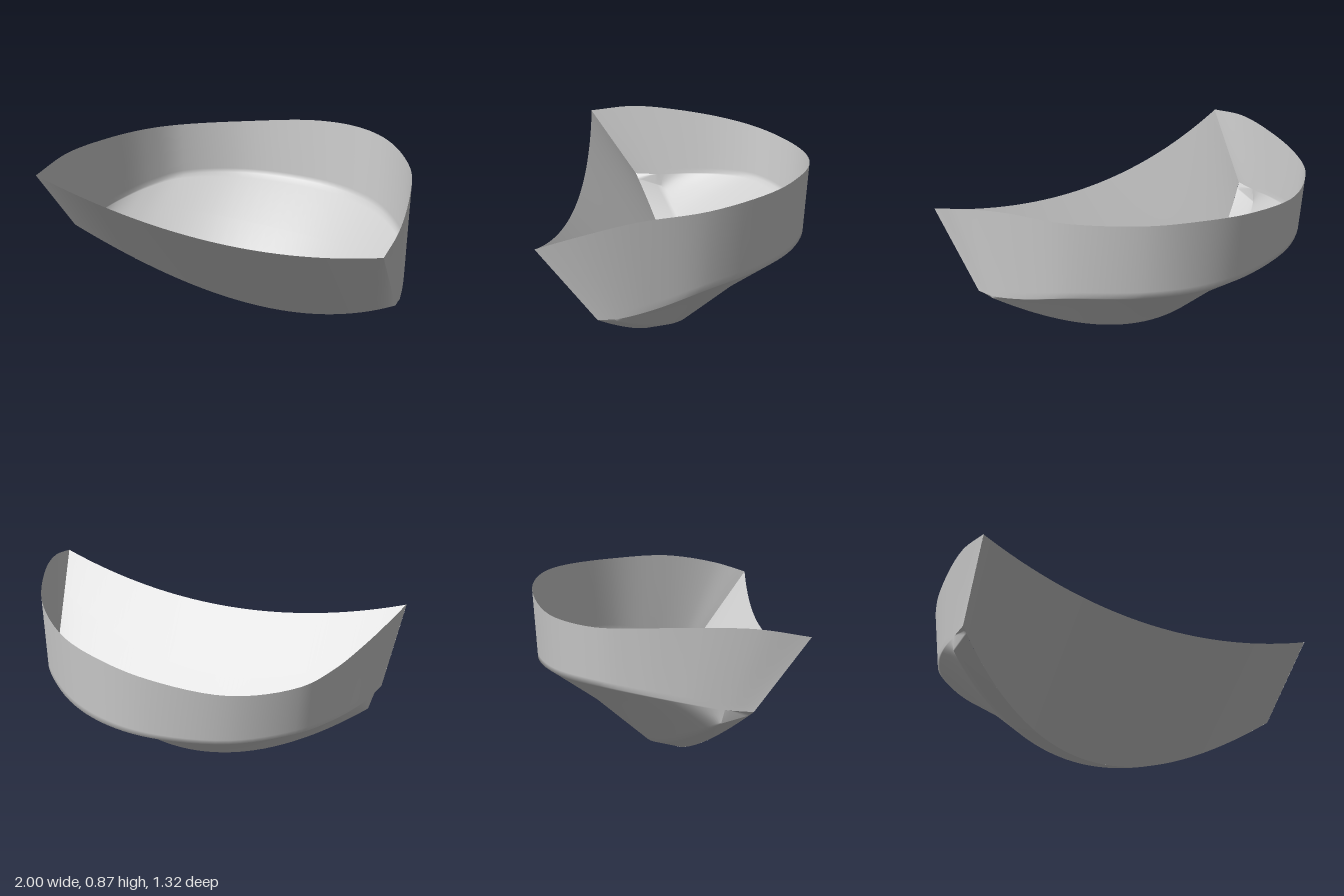
import * as THREE from 'three';

const V = (x, y, z) => new THREE.Vector3(x, y, z);
const curve = pts => new THREE.CatmullRomCurve3(pts.map(p => V(...p)));

// Smooth surface through rows of points (rows run top to bottom)
function loft(rows) {
  const n = rows[0].length, index = [];
  for (let j = 0; j < rows.length - 1; j++) {
    for (let i = 0; i < n - 1; i++) {
      const a = j * n + i, b = a + n;
      index.push(a, b, a + 1, b, b + 1, a + 1);
    }
  }
  const g = new THREE.BufferGeometry().setFromPoints(rows.flat());
  g.setIndex(index);
  g.computeVertexNormals();
  return g;
}

// Edge curves across the width
const lipEdge = x => V(x, 0.587 + 0.165 * x * x - 0.022 * x, 0.573 + 0.055 * x * x - 0.025 * x);
const toeEdge = x => V(x, 0.412 * x * x - 0.025 * x ** 3, 0.055 + 0.33 * x * x - 0.03 * x);
const heelEdge = x => V(x, 0.04 + 0.345 * x * x, -0.08 + 0.36 * x * x);

export function createModel() {
  const group = new THREE.Group();
  const material = new THREE.MeshStandardMaterial({ color: 0xcccccc, side: THREE.DoubleSide });
  const add = (name, geometry) => {
    const mesh = new THREE.Mesh(geometry, material);
    mesh.name = name;
    group.add(mesh);
  };
  const xR = 0.94, xL = -0.96, N = 72;

  // Open rim and the fold below it, from the +x corner round the back
  const rim = curve([
    [1, 0.73, 0.605], [0.99, 0.79, 0.42], [0.91, 0.85, 0.13], [0.756, 0.862, -0.21],
    [0.49, 0.872, -0.5], [0.25, 0.868, -0.62], [-0.05, 0.84, -0.665], [-0.45, 0.79, -0.58],
    [-0.74, 0.785, -0.367], [-0.85, 0.8, -0.17], [-0.93, 0.815, 0.1], [-0.985, 0.815, 0.4],
    [-0.997, 0.775, 0.655],
  ]).getPoints(N);
  const fold = curve([
    toeEdge(xR).toArray(), [0.92, 0.345, 0.22], [0.86, 0.375, 0.05], [0.74, 0.44, -0.2],
    [0.48, 0.465, -0.475], [0.24, 0.47, -0.6], [-0.04, 0.475, -0.64], [-0.44, 0.485, -0.555],
    [-0.72, 0.49, -0.35], [-0.83, 0.47, -0.16], [-0.9, 0.44, 0.05], [-0.94, 0.41, 0.25],
    toeEdge(xL).toArray(),
  ]).getPoints(N);

  // Heel and toe lines of the base, matched to the fold by x
  const toe = fold.map(p => toeEdge(p.x));
  const heel = fold.map(p => {
    const h = heelEdge(p.x);
    return p.z > h.z ? p.clone() : h;
  });
  const between = (a, b, t) => a.map((p, i) => p.clone().lerp(b[i], t));
  const middle = between(fold, heel, 0.5);
  middle.forEach((p, i) => { p.y += 0.03 * fold[i].distanceTo(heel[i]); });

  // Curved wall running into the sloping base, with soft folds
  add('wallAndBase', loft([
    rim, between(rim, fold, 0.5), between(rim, fold, 0.92), fold,
    between(fold, middle, 0.12), middle, between(middle, heel, 0.88), heel,
    between(heel, toe, 0.2), between(heel, toe, 0.85), toe,
  ]));

  // Leaning front panel
  const top = [], bottom = [];
  for (let i = 0; i <= N; i++) {
    const t = i / N;
    top.push(lipEdge(THREE.MathUtils.lerp(-0.997, 1, t)));
    bottom.push(toeEdge(THREE.MathUtils.lerp(xL, xR, t)));
  }
  add('frontPanel', loft([top, between(top, bottom, 0.5), bottom]));

  return group;
}
